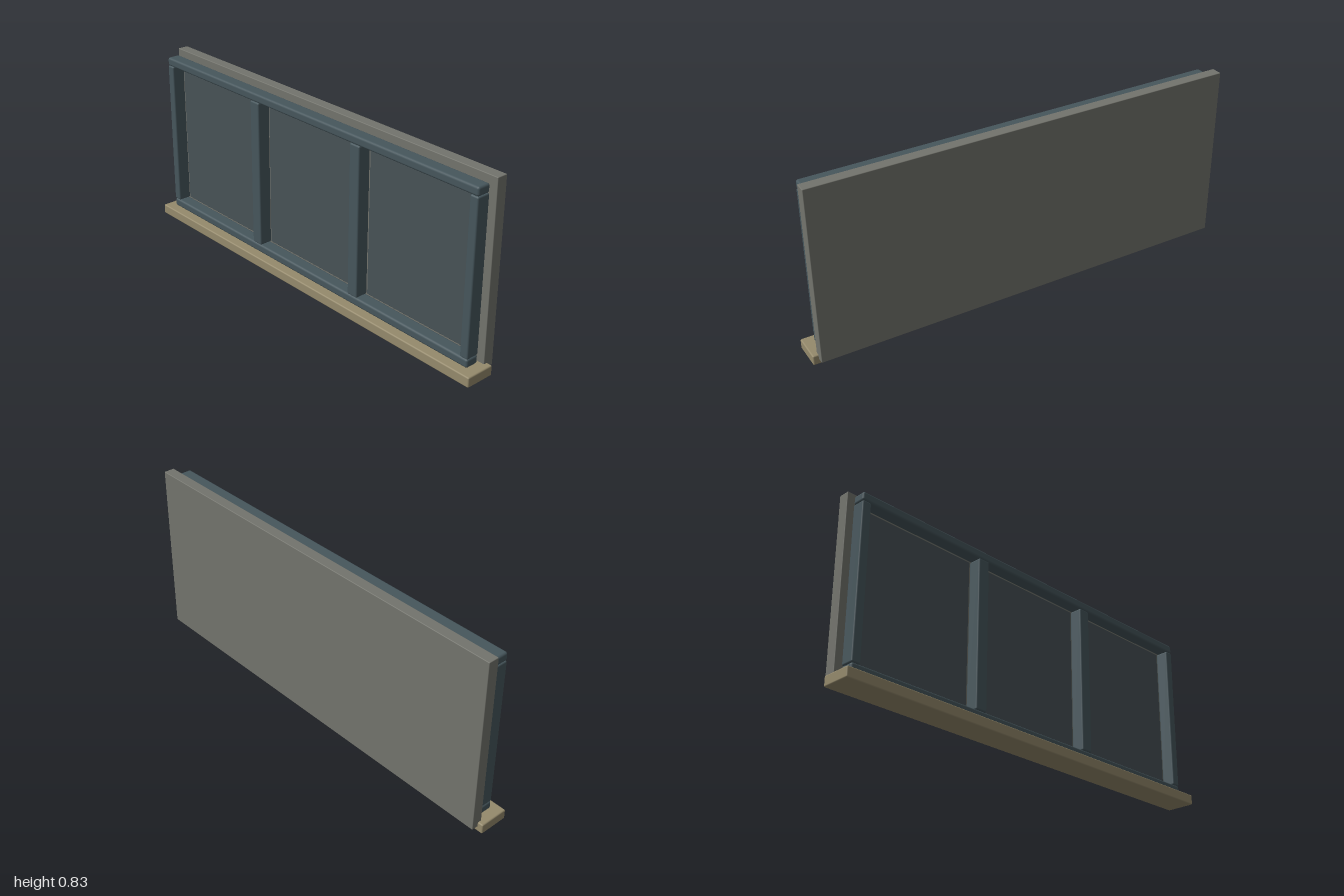
import * as THREE from 'three';
import { RoundedBoxGeometry } from 'three/addons/geometries/RoundedBoxGeometry.js';

export function createModel() {
  const group = new THREE.Group();
  const material = (name, color) => {
    const m = new THREE.MeshStandardMaterial({ color });
    m.name = name;
    return m;
  };
  const wallGrey = material('wallGrey', 0x73746d);
  const frameSlate = material('frameSlate', 0x46565c);
  const panelSlate = material('panelSlate', 0x475256);
  const sillTan = material('sillTan', 0x958a6c);

  // Softly rounded box given by its limits on each axis
  function block(name, mat, [x0, x1], [y0, y1], [z0, z1], radius) {
    const geometry = new RoundedBoxGeometry(x1 - x0, y1 - y0, z1 - z0, 3, radius);
    const mesh = new THREE.Mesh(geometry, mat);
    mesh.name = name;
    mesh.position.set((x0 + x1) / 2, (y0 + y1) / 2, (z0 + z1) / 2);
    group.add(mesh);
  }

  // Back board and projecting sill
  block('backBoard', wallGrey, [-0.975, 0.975], [0.026, 0.833], [-0.082, -0.032], 0.003);
  block('sill', sillTan, [-1, 1], [0.002, 0.048], [-0.052, 0.083], 0.006);

  // Horizontal rails
  const frameZ = [-0.017, 0.045];
  block('bottomRail', frameSlate, [-0.955, 0.955], [0.05, 0.089], frameZ, 0.01);
  block('topRail', frameSlate, [-0.955, 0.955], [0.771, 0.81], frameZ, 0.01);

  // Outer stiles and the two dividers
  const openY = [0.089, 0.771];
  for (const side of [-1, 1]) {
    const x = side * 0.935;
    block('stile', frameSlate, [x - 0.02, x + 0.02], openY, frameZ, 0.007);
    const d = side * 0.314;
    block('divider', frameSlate, [d - 0.028, d + 0.028], openY, frameZ, 0.007);
  }

  // Three recessed panels
  for (const range of [[-0.916, -0.343], [-0.287, 0.287], [0.343, 0.916]]) {
    block('panel', panelSlate, range, openY, [-0.031, -0.016], 0.002);
  }
  return group;
}
